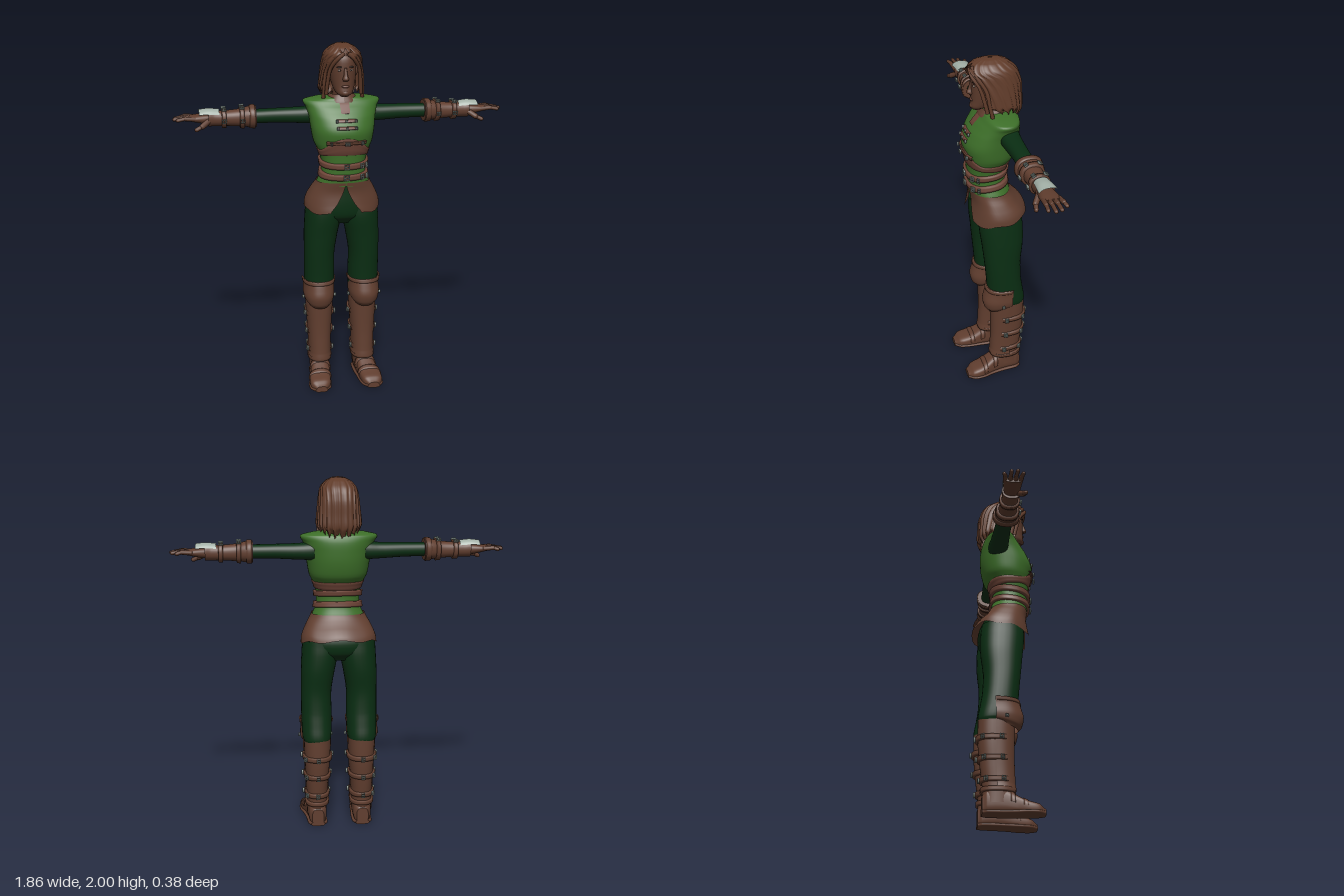
import * as THREE from 'three';

const D = THREE.DoubleSide, HALF = Math.PI / 2, TAU = Math.PI * 2, OPEN = [0, 6.283];
const mat = (name, color, side = THREE.FrontSide) => Object.assign(new THREE.MeshStandardMaterial({ color, side }), { name });

// Cross-section rows: [height, centreX, halfWidth, zBack, zFront, frontGap]
const VEST = [[1.22, 0, .15, -.1, .125], [1.28, 0, .126, -.08, .13], [1.35, 0, .124, -.075, .133], [1.41, 0, .138, -.09, .138],
  [1.46, 0, .163, -.125, .148], [1.53, 0, .176, -.143, .157], [1.6, 0, .186, -.148, .128], [1.65, 0, .2, -.146, .09],
  [1.685, 0, .213, -.135, .06], [1.7, 0, .15, -.115, .05], [1.708, 0, .06, -.09, .04]];
const PELVIS = [[.985, 0, .1, -.11, .05], [1.03, 0, .185, -.148, .09], [1.1, 0, .206, -.155, .1], [1.18, 0, .17, -.12, .1], [1.24, 0, .14, -.09, .1]];
const SKIRT = [[1.06, 0, .215, -.19, .137, .36], [1.11, 0, .208, -.17, .128, .2], [1.18, 0, .18, -.125, .12, .06], [1.24, 0, .152, -.096, .127, 0]];
const LEG = [[.5, .13, .07, -.155, 0], [.53, .13, .082, -.163, .03], [.6, .13, .086, -.152, .055], [.68, .13, .087, -.14, .062],
  [.8, .13, .087, -.136, .073], [.92, .12, .096, -.15, .085], [1.02, .108, .103, -.152, .096], [1.1, .106, .1, -.145, .095]];
const SHAFT = [[.06, .132, .056, -.135, .03], [.15, .13, .059, -.135, .032], [.25, .13, .063, -.147, .03], [.38, .128, .072, -.16, .026], [.53, .128, .077, -.162, .025]];
const SHIN = [[.135, .13, .07, -.15, .047], [.17, .13, .066, -.145, .042], [.3, .13, .07, -.15, .037], [.52, .129, .082, -.16, .04]];
const KNEE = [[.465, .134, .07, -.15, .055], [.49, .134, .084, -.165, .077], [.54, .134, .09, -.17, .087], [.6, .133, .088, -.165, .072], [.635, .133, .092, -.165, .062]];
const FOOT = [[-.137, .13, .034, -.1, 0], [-.11, .13, .05, -.14, 0], [-.03, .132, .054, -.15, 0], [.04, .14, .056, -.11, 0],
  [.1, .15, .062, -.077, 0], [.16, .155, .056, -.06, 0], [.195, .155, .03, -.035, 0]];
const SOLE = FOOT.map(r => [r[0], r[1], r[2] + .006, -.024, 0]);
const SLEEVE = [[.14, -1.6, .05, -.115, 0], [.22, -1.598, .045, -.108, -.003], [.35, -1.6, .04, -.1, -.008], [.51, -1.6, .038, -.095, -.005]];
const BRACER = [[.475, -1.6, .06, -.12, .02], [.51, -1.6, .057, -.115, .014], [.56, -1.597, .048, -.1, .002], [.64, -1.596, .042, -.095, -.005],
  [.7, -1.597, .042, -.095, -.005], [.735, -1.6, .046, -.1, 0]];
const PALM = [[.69, -1.597, .026, -.083, -.018], [.74, -1.597, .029, -.092, -.008], [.79, -1.6, .023, -.1, -.003], [.835, -1.602, .015, -.1, -.002]];
const PLATE = [[.675, -1.602, .045, -.095, -.005], [.73, -1.604, .049, -.1, 0], [.785, -1.606, .042, -.108, .005]];
const HEAD = [[1.718, 0, .022, .05, .1], [1.735, 0, .045, 0, .112], [1.77, 0, .06, -.05, .108], [1.82, 0, .07, -.085, .108],
  [1.87, 0, .074, -.1, .108], [1.93, 0, .07, -.1, .1], [1.97, 0, .04, -.07, .06]];
const NOSE = [[1.805, 0, .014, .09, .118], [1.815, 0, .017, .09, .132], [1.835, 0, .011, .09, .124], [1.875, 0, .008, .09, .112]];
const HAIR = [[1.69, 0, .11, -.145, .04, 1.15], [1.73, 0, .124, -.165, .08, 1.05], [1.8, 0, .12, -.163, .1, .98], [1.87, 0, .112, -.16, .115, .82],
  [1.92, 0, .105, -.145, .122, .58], [1.95, 0, .094, -.125, .122, .2], [1.98, 0, .066, -.088, .095, 0], [1.995, 0, .035, -.05, .055, 0], [2, 0, .004, -.01, .015, 0]];

// Smooth interpolation of the rows at a height
function sample(rows, y) {
  let i = 0;
  while (i < rows.length - 2 && y > rows[i + 1][0]) i++;
  const a = rows[Math.max(0, i - 1)], b = rows[i], c = rows[i + 1], d = rows[Math.min(rows.length - 1, i + 2)];
  const u = (y - b[0]) / (c[0] - b[0]);
  return b.map((v, k) => {
    const cubic = 3 * (v - c[k]) + d[k] - a[k], square = 2 * a[k] - 5 * v + 4 * c[k] - d[k];
    return k === 0 ? y : v + .5 * u * (c[k] - a[k] + u * (square + u * cubic));
  });
}
// Point on a cross-section; t = 0 faces +z, growing towards +x
function ringPoint(r, t, off = 0, pow = 2.3) {
  const f = v => Math.sign(v) * Math.abs(v) ** (2 / pow);
  return new THREE.Vector3(r[1] + (r[2] + off) * f(Math.sin(t)), r[0], (r[3] + r[4]) / 2 + ((r[4] - r[3]) / 2 + off) * f(Math.cos(t)));
}
// Surface from a grid of points fn(row, t), optionally with end caps
function grid(fn, rows, seg, [t0, t1], cap) {
  const cols = t1 - t0 > TAU - 1e-6 ? seg : seg + 1, pos = [], idx = [];
  const ring = i => Array.from({ length: cols }, (_, j) => fn(i, t0 + (t1 - t0) * j / seg));
  for (let i = 0; i <= rows; i++) ring(i).forEach(p => pos.push(...p));
  for (let i = 0; i < rows; i++) for (let j = 0; j < seg; j++) {
    const a = i * cols + j, b = i * cols + (j + 1) % cols;
    idx.push(a, b, a + cols, b, b + cols, a + cols);
  }
  if (cap) for (const i of [0, rows]) {
    const base = pos.length / 3, mid = new THREE.Vector3();
    ring(i).forEach(p => { pos.push(...p); mid.addScaledVector(p, 1 / cols); });
    pos.push(...mid);
    for (let j = 0; j < cols; j++) {
      const a = base + j, b = base + (j + 1) % cols;
      idx.push(...(i ? [a, b, base + cols] : [b, a, base + cols]));
    }
  }
  const g = new THREE.BufferGeometry().setIndex(idx);
  g.setAttribute('position', new THREE.Float32BufferAttribute(pos, 3));
  g.computeVertexNormals();
  return g;
}
// Body through all the rows; a partial arc leaves it open
function loft(rows, { seg = 32, arc = [0, TAU], pow, shape = p => p } = {}) {
  const list = [rows[0]];
  for (let i = 1; i < rows.length; i++) for (let s = 1; s <= 4; s++)
    list.push(sample(rows, rows[i - 1][0] + (rows[i][0] - rows[i - 1][0]) * s / 4));
  return grid((i, t) => {
    const gap = list[i][5] || 0;
    return shape(ringPoint(list[i], gap + t * (1 - gap / Math.PI), 0, pow), t);
  }, list.length - 1, seg, arc, arc[1] - arc[0] === TAU);
}
// Raised band lying on a body between two heights (numbers or functions of t)
function band(rows, lo, hi, off = .01, arc = [0, TAU]) {
  const at = (v, t) => typeof v === 'function' ? v(t) : v;
  const U = [0, .06, .35, .65, .94, 1], O = [-.004, off, off, off, off, -.004];
  return grid((i, t) => ringPoint(sample(rows, at(lo, t) + (at(hi, t) - at(lo, t)) * U[i]), t, O[i]), 5, 40, arc, false);
}

export function createModel() {
  const model = new THREE.Group();
  model.name = 'adventurer';
  const vest = mat('vest green', 0x3d6f29), cloth = mat('dark green cloth', 0x0a2e13), leather = mat('brown leather', 0x613e2f, D),
    trim = mat('reddish leather', 0x6c4336, D), skin = mat('skin', 0x5d3b2c), hair = mat('hair', 0x603b29, D),
    metal = mat('grey metal', 0x7b8882), pale = mat('pale plate', 0xa2afa6, D), dark = mat('dark brown', 0x2c1a14), white = mat('eye white', 0x93867c);

  const add = (parent, name, geo, m) => {
    const o = Object.assign(new THREE.Mesh(geo, m), { name });
    parent.add(o);
    return o;
  };
  // Rectangular frame with a pin, lying on a body
  const buckle = (parent, rows, y, t, w, h, off = .017) => {
    const o = add(parent, 'buckle', new THREE.TorusGeometry(.707, .16, 6, 4).rotateZ(Math.PI / 4).scale(w, h, .035), metal);
    o.position.copy(ringPoint(sample(rows, y), t, off));
    o.rotation.y = t;
    add(o, 'bucklePin', new THREE.BoxGeometry(w, .006, .008), metal);
  };
  const rod = (parent, name, a, b, r) => {
    const v = b.clone().sub(a), o = add(parent, name, new THREE.CapsuleGeometry(r, v.length(), 4, 10), skin);
    o.position.copy(a).addScaledVector(v, .5);
    o.quaternion.setFromUnitVectors(new THREE.Vector3(0, 1, 0), v.normalize());
  };
  // Adds a left-side group and its baked mirror image
  const pair = (left, name) => {
    const right = new THREE.Group();
    left.name = 'left' + name;
    right.name = 'right' + name;
    left.updateMatrixWorld(true);
    left.traverse(o => {
      if (!o.isMesh) return;
      const g = o.geometry.clone().applyMatrix4(o.matrixWorld).scale(-1, 1, 1), ix = g.index.array;
      for (let i = 0; i < ix.length; i += 3) [ix[i], ix[i + 1]] = [ix[i + 1], ix[i]];
      add(right, o.name, g, o.material);
    });
    model.add(left, right);
  };

  // Torso, hips and split skirt
  add(model, 'vest', loft(VEST, { seg: 48 }), vest);
  add(model, 'hips', loft(PELVIS), cloth);
  add(model, 'skirt', loft(SKIRT, { seg: 56, arc: OPEN, shape: (p, t) => {
    p.y += (.025 * (1 - Math.cos(t)) + .006 * Math.cos(t * 6)) * Math.max(0, (1.24 - p.y) / .18);
    return p;
  } }), leather);
  add(model, 'underbustPanel', band(VEST, t => 1.385 + .012 * Math.cos(t), t => 1.425 + .075 * Math.max(0, Math.cos(t)) ** 4, .006), trim);
  for (const y of [1.335, 1.272]) {
    add(model, 'belt', band(VEST, t => y - .003 - .014 * Math.cos(t), t => y + .031 - .014 * Math.cos(t), .015), trim);
    for (const [t, w] of [[0, .026], [.62, .02], [.95, .012]]) buckle(model, VEST, y + .002, t, w, .026, .02);
  }
  add(model, 'chestStrap', band(VEST, 1.462, 1.482, .013, [-.62, .62]), leather);
  for (const t of [-.42, 0, .42]) buckle(model, VEST, 1.472, t, t ? .012 : .022, .018, .022);
  for (const y of [1.555, 1.592]) {
    add(model, 'chestTab', band(VEST, y - .009, y + .009, .008, [-.24, .24]), trim);
    for (const t of [-.22, 0, .22]) buckle(model, VEST, y, t, .01, .014, .01);
  }
  add(model, 'neckPlacket', band(VEST, 1.625, 1.69, .005, [-.09, .09]), trim);
  add(model, 'collar', loft([[1.68, 0, .095, -.115, .07], [1.7, 0, .08, -.1, .06], [1.722, 0, .066, -.085, .05]], { arc: OPEN }), leather);

  // Head, face and hair
  add(model, 'neck', loft([[1.66, 0, .06, -.09, .03], [1.7, 0, .05, -.08, .03], [1.78, 0, .05, -.075, .04]]), skin);
  add(model, 'head', loft(HEAD), skin);
  add(model, 'nose', loft(NOSE, { seg: 14 }), skin);
  const blob = (name, x, y, z, size, m) => add(model, name, new THREE.SphereGeometry(1, 14, 10).scale(...size), m).position.set(x, y, z);
  blob('lips', 0, 1.775, .107, [.022, .007, .007], trim);
  blob('chin', 0, 1.738, .1, [.022, .016, .016], skin);
  for (const s of [-1, 1]) {
    blob('eye', s * .03, 1.862, .099, [.012, .006, .006], white);
    blob('iris', s * .03, 1.862, .103, [.005, .005, .003], dark);
    blob('brow', s * .031, 1.88, .101, [.017, .004, .006], dark);
    blob('ear', s * .077, 1.85, -.01, [.012, .034, .02], skin);
  }
  add(model, 'hair', loft(HAIR, { seg: 96, arc: OPEN, shape: (p, t) => {
    const k = 1 + .022 * Math.sin(t * 17) + .012 * Math.sin(t * 31), low = Math.max(0, (1.76 - p.y) / .07);
    const hem = .012 * Math.sin(t * 13) + .008 * Math.sin(t * 29) + .022 * (1 + Math.cos(t));
    return p.set(p.x * k, p.y + low * hem, p.z * k);
  } }), hair);
  const locks = new THREE.Group();
  for (const pts of [[[.008, 1.955, .118], [.045, 1.925, .115], [.078, 1.87, .082], [.09, 1.8, .062], [.096, 1.725, .045]],
    [[.02, 1.965, .105], [.07, 1.92, .088], [.098, 1.85, .05], [.106, 1.77, .035], [.108, 1.7, .02]]])
    add(locks, 'hairLock', new THREE.TubeGeometry(new THREE.CatmullRomCurve3(pts.map(p => new THREE.Vector3(...p))), 18, .011, 7), hair);
  pair(locks, 'HairLocks');

  // Legs and boots
  const leg = new THREE.Group();
  add(leg, 'trouserLeg', loft(LEG), cloth);
  add(leg, 'bootShaft', loft(SHAFT), leather);
  add(leg, 'shinGuard', loft(SHIN, { arc: [-1.65, 1.65] }), leather);
  add(leg, 'kneeGuard', loft(KNEE, { arc: [-1.75, 1.75], shape: (p, t) =>
    p.setY(p.y + .035 * (1 - Math.cos(t)) * Math.max(0, (.56 - p.y) / .1)) }), leather);
  add(leg, 'kneeGuardRim', band(KNEE, .612, .634, .005, [-1.7, 1.7]), leather);
  for (const t of [-1.4, 1.4]) buckle(leg, KNEE, .525, t, .014, .014, .006);
  for (const y of [.185, .3, .412]) {
    add(leg, 'bootStrap', band(SHAFT, y - .014, y + .014, .012, [1.1, TAU - 1.1]), leather);
    for (const t of [1.35, 2.25, Math.PI, TAU - 1.35]) buckle(leg, SHAFT, y, t, .018, .022);
  }
  add(leg, 'ankleCuff', band(SHAFT, .12, .145, .012), leather);
  for (const [name, geo] of [['foot', loft(FOOT, { pow: 3 })], ['sole', loft(SOLE, { pow: 3 })],
    ['toeBand', band(FOOT, .075, .1, .006, [HALF, 3 * HALF])], ['instepBand', band(FOOT, .01, .035, .008, [HALF, 3 * HALF])]])
    add(leg, name, geo, leather).rotation.x = HALF;
  pair(leg, 'Leg');

  // Arms, built upright and turned to point sideways
  const arm = new THREE.Group();
  arm.rotation.z = -HALF;
  add(arm, 'sleeve', loft(SLEEVE), cloth);
  add(arm, 'bracer', loft(BRACER), leather);
  add(arm, 'bracerCuff', band(BRACER, .48, .512, .006), leather);
  for (const y of [.552, .65]) {
    add(arm, 'bracerStrap', band(BRACER, y - .013, y + .013, .011), leather);
    for (const t of [-HALF - .5, -HALF + .5, .1]) buckle(arm, BRACER, y, t, .018, .022);
  }
  add(arm, 'handPlate', loft(PLATE, { arc: [-HALF - 1.15, -HALF + 1.15] }), pale);
  add(arm, 'palm', loft(PALM), skin);
  const P = (x, y, z) => new THREE.Vector3(-y, x, z);
  for (const [z0, z1, tip] of [[-.092, -.105, .885], [-.066, -.07, .912], [-.04, -.038, .918], [-.014, -.006, .9]]) {
    rod(arm, 'finger', P(.81, 1.603, z0), P(.86, 1.607, (z0 + z1) / 2), .0125);
    rod(arm, 'fingerTip', P(.86, 1.607, (z0 + z1) / 2), P(tip, 1.6, z1), .0105);
  }
  rod(arm, 'thumb', P(.735, 1.588, -.015), P(.77, 1.565, .01), .016);
  rod(arm, 'thumbTip', P(.77, 1.565, .01), P(.802, 1.55, .018), .012);
  pair(arm, 'Arm');
  return model;
}
